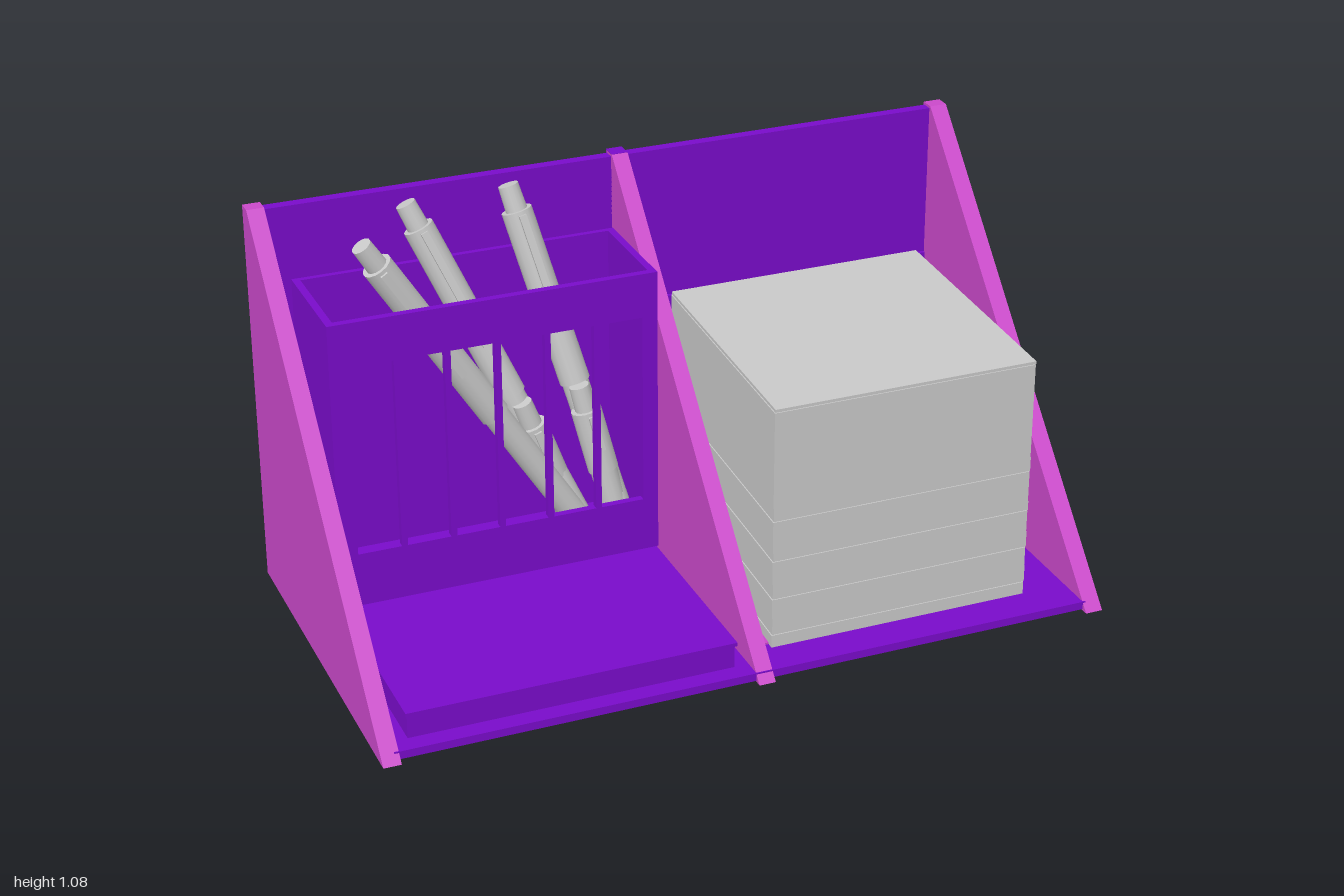
import * as THREE from 'three';

const purple = new THREE.MeshStandardMaterial({ color: 0x7a0ccb });
purple.name = 'purple';
const magenta = new THREE.MeshStandardMaterial({ color: 0xcb49cb });
magenta.name = 'magenta';
const grey = new THREE.MeshStandardMaterial({ color: 0xcacaca });
grey.name = 'paper grey';

export function createModel() {
  const root = new THREE.Group();
  root.name = 'deskOrganizer';

  const add = (name, geometry, material, parent = root) => {
    const mesh = new THREE.Mesh(geometry, material);
    mesh.name = name;
    parent.add(mesh);
    return mesh;
  };
  // Box given by its minimum and maximum corners
  const box = (name, x0, x1, y0, y1, z0, z1, material = purple, parent = root) => {
    const mesh = add(name, new THREE.BoxGeometry(x1 - x0, y1 - y0, z1 - z0), material, parent);
    mesh.position.set((x0 + x1) / 2, (y0 + y1) / 2, (z0 + z1) / 2);
    return mesh;
  };

  // Base and back boards
  box('base', -0.96, 0.95, 0.003, 0.025, -0.5, 0.5);
  box('backBoard', -0.96, 0.95, 0.003, 1.068, -0.515, -0.485);
  box('lowerBackPlate', -0.95, 0.94, 0.025, 0.64, -0.485, -0.475);
  box('backTrim', 0, 0.045, 0, 1.076, -0.524, -0.48);

  // Triangular panels: two sides and the divider
  const panel = (name, x0, x1) => {
    const shape = new THREE.Shape([
      [-0.52, 0], [0.52, 0], [-0.48, 1.075], [-0.52, 1.075],
    ].map(([z, y]) => new THREE.Vector2(-z, y)));
    const geometry = new THREE.ExtrudeGeometry(shape, { depth: x1 - x0, bevelEnabled: false });
    geometry.rotateY(Math.PI / 2);
    add(name, geometry, magenta).position.x = x0;
  };
  panel('rightSidePanel', -0.995, -0.948);
  panel('divider', 0, 0.045);
  panel('leftSidePanel', 0.942, 0.99);

  // Flat strip on the floor beside the paper stack
  box('floorStrip', 0.045, 0.13, 0.025, 0.03, -0.43, 0.38, magenta);

  // Low tray with a slightly overhanging lid
  box('tray', -0.91, -0.04, 0.025, 0.09, -0.39, 0.45);
  box('trayLid', -0.915, -0.035, 0.09, 0.1, -0.39, 0.458);

  // Open pen holder with a slotted front wall
  const holder = new THREE.Group();
  holder.name = 'penHolder';
  root.add(holder);
  const wall = new THREE.Shape([
    new THREE.Vector2(-0.91, 0.1), new THREE.Vector2(-0.03, 0.1),
    new THREE.Vector2(-0.03, 0.902), new THREE.Vector2(-0.91, 0.902),
  ]);
  for (let i = 0; i < 6; i++) {
    const x = -0.86 + i * 0.134;
    wall.holes.push(new THREE.Path([
      new THREE.Vector2(x, 0.25), new THREE.Vector2(x, 0.78),
      new THREE.Vector2(x + 0.118, 0.78), new THREE.Vector2(x + 0.118, 0.25),
    ]));
  }
  add('slottedFront', new THREE.ExtrudeGeometry(wall, { depth: 0.02, bevelEnabled: false }),
    purple, holder).position.z = -0.107;
  box('holderBack', -0.91, -0.03, 0.1, 0.902, -0.4, -0.385, purple, holder);
  box('holderRightWall', -0.91, -0.89, 0.1, 0.902, -0.39, -0.1, purple, holder);
  box('holderLeftWall', -0.05, -0.03, 0.1, 0.902, -0.39, -0.1, purple, holder);

  // Pens leaning inside the holder: top point, bottom point
  const up = new THREE.Vector3(0, 1, 0);
  const pen = (top, bottom) => {
    const a = new THREE.Vector3(...bottom), b = new THREE.Vector3(...top);
    const dir = b.clone().sub(a), length = dir.length();
    const group = new THREE.Group();
    group.name = 'pen';
    group.position.copy(a);
    group.quaternion.setFromUnitVectors(up, dir.normalize());
    root.add(group);
    const cylinder = (name, r0, r1, y0, y1) => add(name,
      new THREE.CylinderGeometry(r1, r0, y1 - y0, 14), grey, group).position.y = (y0 + y1) / 2;
    cylinder('penTip', 0.012, 0.036, 0, 0.07);
    cylinder('penBarrel', 0.036, 0.036, 0.07, length * 0.45);
    cylinder('penCap', 0.041, 0.041, length * 0.45, length - 0.07);
    cylinder('penEnd', 0.029, 0.027, length - 0.07, length);
    box('penClip', -0.01, 0.01, length * 0.6, length - 0.08, 0.036, 0.047, grey, group);
  };
  pen([-0.79, 1.07, -0.16], [-0.18, 0.11, -0.17]);
  pen([-0.605, 1.07, -0.38], [-0.19, 0.11, -0.16]);
  pen([-0.32, 1.07, -0.4], [-0.09, 0.11, -0.16]);
  pen([-0.36, 0.53, -0.22], [-0.21, 0.11, -0.2]);
  pen([-0.2, 0.55, -0.22], [-0.1, 0.11, -0.17]);

  // Paper stack: sheared slabs with small offsets between bundles
  const levels = [0.025, 0.06, 0.11, 0.165, 0.21, 0.275, 0.3, 0.39, 0.43, 0.698, 0.706];
  const stack = new THREE.Group();
  stack.name = 'paperStack';
  root.add(stack);
  for (let i = 0; i < levels.length - 1; i++) {
    const geometry = new THREE.BoxGeometry(0.73, levels[i + 1] - levels[i], 0.758);
    const p = geometry.attributes.position;
    for (let v = 0; v < p.count; v++) p.setX(v, p.getX(v) - 0.045 * p.getZ(v));
    geometry.computeVertexNormals();
    add('paperBundle', geometry, grey, stack)
      .position.set(0.468 + (i % 2 ? 0.003 : 0), (levels[i] + levels[i + 1]) / 2, 0.02 - (i % 2 ? 0.003 : 0));
  }
  return root;
}
